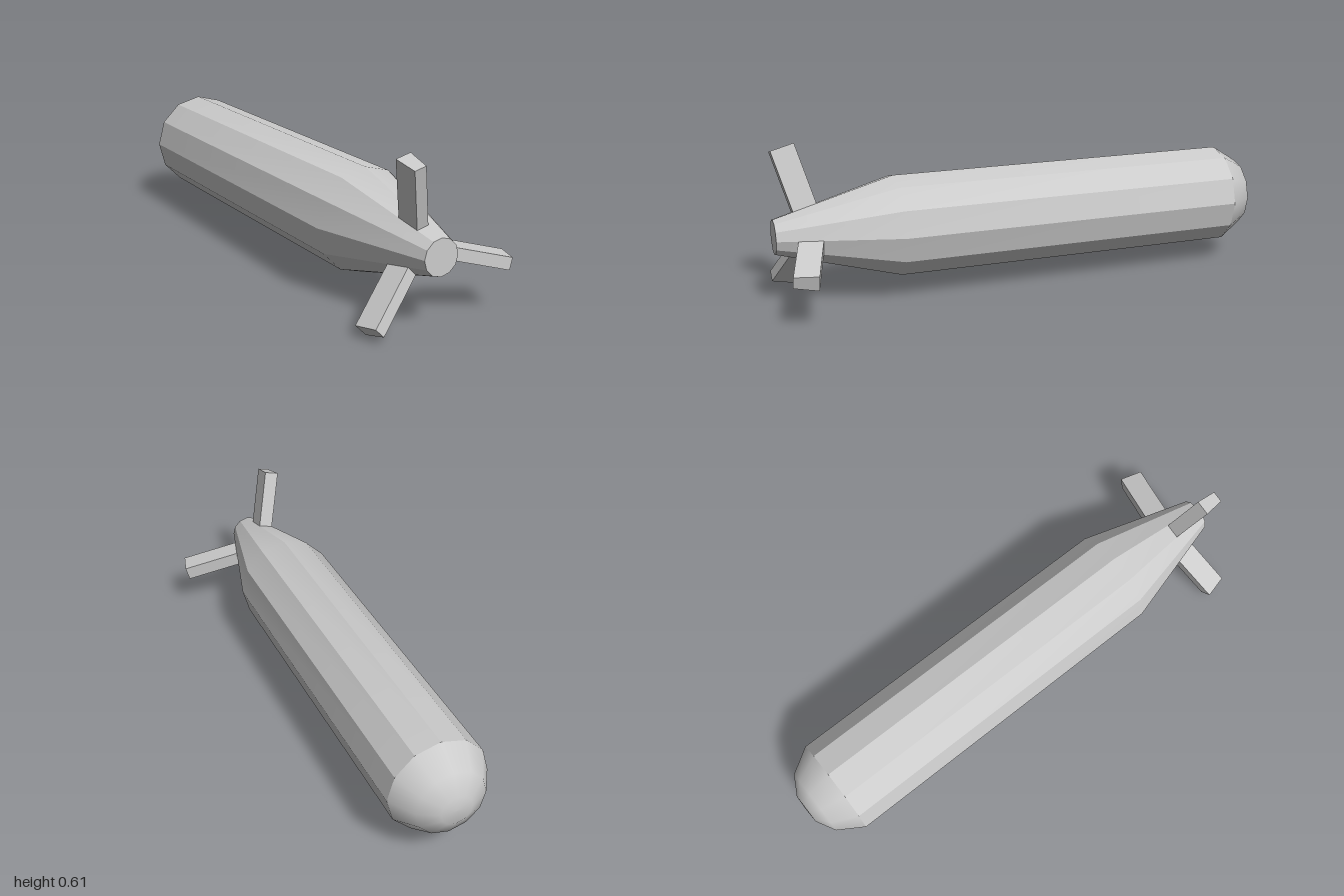
import * as THREE from 'three';
import { toCreasedNormals } from 'three/addons/utils/BufferGeometryUtils.js';

const SIDES = 12;
const TILT = THREE.MathUtils.degToRad(15);

// Revolve [radius, z] points around the z axis
function revolve(profile) {
  const points = profile.map(([r, z]) => new THREE.Vector2(r, z));
  return new THREE.LatheGeometry(points, SIDES).rotateX(Math.PI / 2);
}

// Fin pointing up: a bar with a trapezoid section, leaning forward
function finGeometry() {
  const section = new THREE.Shape([
    new THREE.Vector2(-0.023, 0),
    new THREE.Vector2(0.023, 0),
    new THREE.Vector2(0.03, 0.093),
    new THREE.Vector2(-0.03, 0.093),
  ]);
  const geometry = new THREE.ExtrudeGeometry(section, { depth: 0.27, bevelEnabled: false });
  const c = Math.cos(TILT), s = Math.sin(TILT);
  const placement = new THREE.Matrix4().makeBasis(
    new THREE.Vector3(1, 0, 0),
    new THREE.Vector3(0, s, -c),
    new THREE.Vector3(0, c, s),
  ).setPosition(0, 0.06, 0.915);
  return geometry.applyMatrix4(placement);
}

export function createModel() {
  const model = new THREE.Group();
  const material = new THREE.MeshStandardMaterial({ color: 0xcccccc });

  function add(name, geometry) {
    const mesh = new THREE.Mesh(geometry, material);
    mesh.name = name;
    model.add(mesh);
    return mesh;
  }

  // Faceted tube narrowing to a flat end
  const hull = revolve([[0.199, -0.86], [0.199, 0.535], [0.068, 1], [0, 1]]);
  add('body', toCreasedNormals(hull, 0.4));

  // Smooth rounded cap on the other end
  add('dome', revolve([[0, -1], [0.062, -0.998], [0.138, -0.957], [0.199, -0.86]]));

  // Three fins spaced around the narrow end
  const fin = finGeometry();
  for (let i = 0; i < 3; i++) {
    add('fin' + (i + 1), fin).rotation.z = TILT + (i * Math.PI * 2) / 3;
  }

  model.position.set(-0.039, 0.266, 0);
  const root = new THREE.Group();
  root.add(model);
  return root;
}
